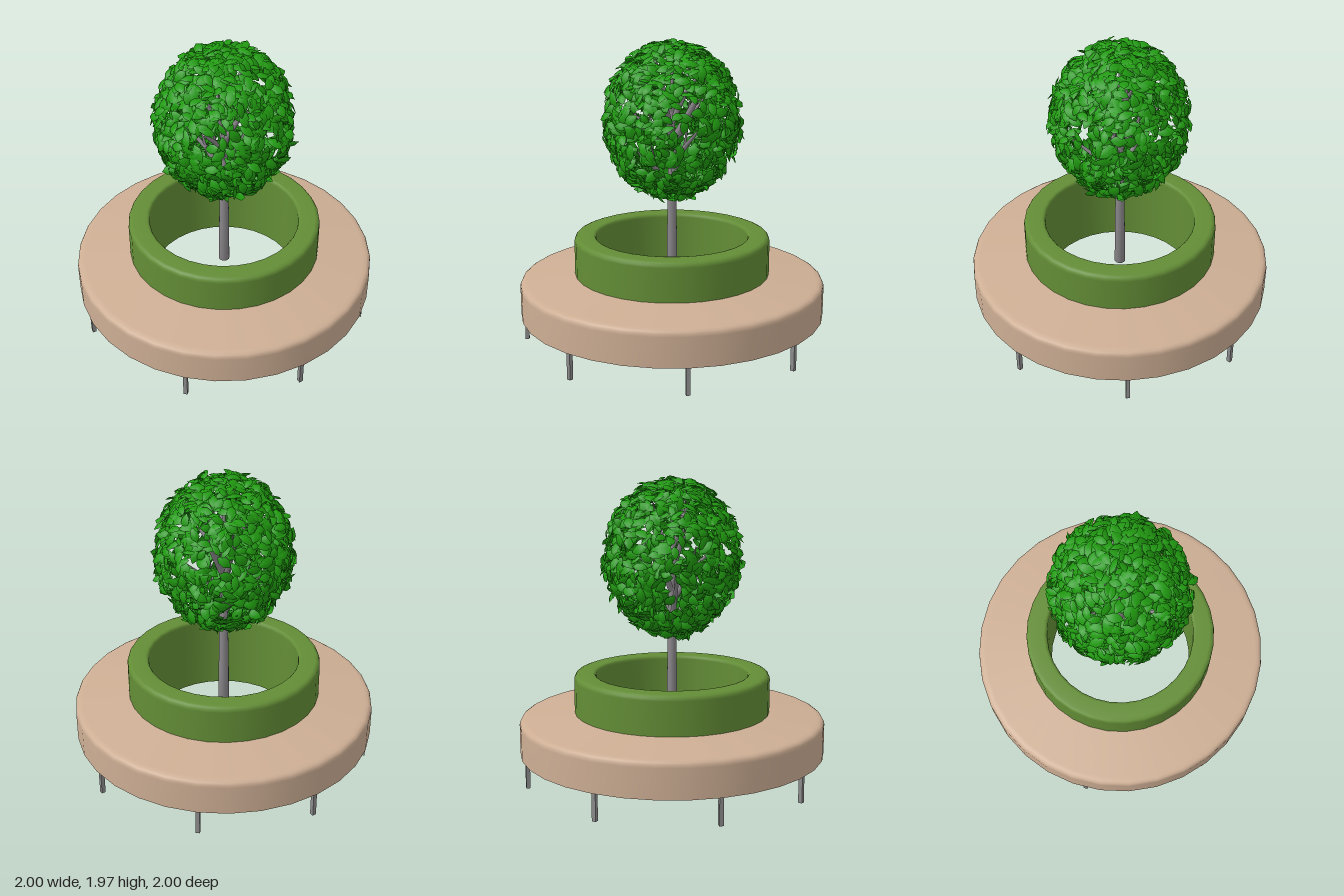
import * as THREE from 'three';
import { mergeGeometries } from 'three/addons/utils/BufferGeometryUtils.js';

const mat = (name, color, side = THREE.FrontSide) => {
  const m = new THREE.MeshStandardMaterial({ color, side });
  m.name = name;
  return m;
};
const V = (x, y, z) => new THREE.Vector3(x, y, z);

// small seeded random generator
function seeded(seed) {
  return () => {
    seed = (seed * 1664525 + 1013904223) % 4294967296;
    return seed / 4294967296;
  };
}

function lathe(name, profile, segments, material) {
  const points = profile.map(([r, y]) => new THREE.Vector2(r, y));
  const mesh = new THREE.Mesh(new THREE.LatheGeometry(points, segments), material);
  mesh.name = name;
  return mesh;
}

// tapered limb between two points
function limb(a, b, r0, r1) {
  const dir = b.clone().sub(a);
  const g = new THREE.CylinderGeometry(r1, r0, dir.length(), 12);
  g.applyQuaternion(new THREE.Quaternion().setFromUnitVectors(V(0, 1, 0), dir.normalize()));
  const mid = a.clone().add(b).multiplyScalar(0.5);
  return g.translate(mid.x, mid.y, mid.z);
}

// pointed leaf along +y, folded on its midrib and curling backwards
function leafGeometry() {
  const rows = [[0, 0], [0.28, 0.24], [0.6, 0.27], [0.85, 0.14], [1, 0]];
  const pos = [], index = [];
  rows.forEach(([t, w]) => {
    const z = 0.18 * Math.sin(t * Math.PI) - 0.1 * t;
    pos.push(-w, t - 0.5, z - w * 0.35, 0, t - 0.5, z, w, t - 0.5, z - w * 0.35);
  });
  for (let i = 0; i < rows.length - 1; i++) {
    for (let k = 0; k < 2; k++) {
      const a = i * 3 + k, b = a + 1, c = a + 4, d = a + 3;
      if (i > 0) index.push(a, b, k === 0 ? d : c);
      if (i === 0) index.push(a, c, d);
      else if (i < rows.length - 2) index.push(...(k === 0 ? [b, c, d] : [a, c, d]));
    }
  }
  // tip triangles collapse onto the midrib
  const g = new THREE.BufferGeometry();
  g.setAttribute('position', new THREE.Float32BufferAttribute(pos, 3));
  g.setIndex(index);
  g.computeVertexNormals();
  return g;
}

// leaves scattered over an egg-shaped shell
function foliage(material) {
  const rand = seeded(41), leaf = leafGeometry(), parts = [];
  const count = 1900;
  for (let i = 0; i < count; i++) {
    const h = 1 - 2 * (i + 0.5) / count;
    const ang = i * 2.399963 + (rand() - 0.5) * 0.5;
    const ring = Math.sqrt(1 - h * h);
    const n = V(ring * Math.cos(ang), h, ring * Math.sin(ang));
    // thin patches around the middle leave gaps in the crown
    const gap = Math.sin(n.x * 7 + 1) * Math.sin(n.z * 7 + 2) + Math.sin(n.y * 9);
    if (Math.abs(h) < 0.6 && gap > 0.25 && rand() < 0.6) continue;
    const depth = 0.86 + 0.1 * rand();
    const p = V(n.x * 0.46 * depth, 1.45 + n.y * 0.53 * depth, n.z * 0.46 * depth);
    const out = n.clone().add(V(rand() - 0.5, rand() - 0.3, rand() - 0.5).multiplyScalar(1.3)).normalize();
    const q = new THREE.Quaternion().setFromUnitVectors(V(0, 0, 1), out);
    q.multiply(new THREE.Quaternion().setFromAxisAngle(V(0, 0, 1), rand() * Math.PI * 2));
    const s = 0.085 + 0.035 * rand();
    parts.push(leaf.clone().applyMatrix4(new THREE.Matrix4().compose(p, q, V(s, s, s))));
  }
  const mesh = new THREE.Mesh(mergeGeometries(parts), material);
  mesh.name = 'leaves';
  return mesh;
}

export function createModel() {
  const model = new THREE.Group();
  model.name = 'roundPlanterBench';
  const seatTan = mat('seatTan', 0xcdae94, THREE.DoubleSide);
  const ringGreen = mat('ringGreen', 0x638d36, THREE.DoubleSide);
  const legGrey = mat('legGrey', 0x8c8c8c);
  const barkGrey = mat('barkGrey', 0x8a868a);
  const leafGreen = mat('leafGreen', 0x209a10, THREE.DoubleSide);

  // hollow seat, open underneath
  model.add(lathe('seat', [
    [1, 0.18], [1, 0.37], [0.997, 0.387], [0.99, 0.4], [0.975, 0.409], [0.95, 0.413], [0.64, 0.445],
  ], 32, seatTan));

  // backrest ring with a long inner sleeve
  model.add(lathe('backrest', [
    [0.64, 0.44], [0.64, 0.665], [0.637, 0.68], [0.628, 0.693], [0.61, 0.7],
    [0.52, 0.7], [0.508, 0.697], [0.501, 0.688], [0.498, 0.675], [0.498, 0.18],
  ], 32, ringGreen));

  // eight legs turned to face the centre, one slightly out of step
  const legs = new THREE.Group();
  legs.name = 'legs';
  for (let i = 0; i < 8; i++) {
    const a = i * Math.PI / 4 + (i === 3 ? 0.117 : 0);
    const leg = new THREE.Mesh(new THREE.BoxGeometry(0.026, 0.18, 0.026), legGrey);
    leg.name = 'leg';
    leg.position.set(0.965 * Math.cos(a), 0.09, 0.965 * Math.sin(a));
    leg.rotation.y = -a;
    legs.add(leg);
  }
  model.add(legs);

  // tree: trunk, branches and leaves
  const tree = new THREE.Group();
  tree.name = 'tree';
  tree.add(lathe('trunk', [
    [0, 0.32], [0.036, 0.32], [0.034, 0.6], [0.028, 0.95], [0.024, 1.2], [0.018, 1.5], [0.006, 1.85], [0, 1.85],
  ], 14, barkGrey));
  const limbs = [];
  for (let i = 0; i < 9; i++) {
    const a = i * 2.4 + 0.9, y = 0.95 + i * 0.07;
    const reach = 0.3 - i * 0.014;
    const at = (f, up) => V(Math.cos(a) * reach * f, y + up, Math.sin(a) * reach * f);
    const bend = at(0.45, 0.2);
    limbs.push(limb(at(0, 0), bend, 0.02, 0.016), limb(bend, at(1, 0.34), 0.016, 0.006));
    limbs.push(limb(bend, at(0.6, 0.36), 0.01, 0.004));
  }
  // one stout branch towards the back
  limbs.push(limb(V(0, 1.3, 0), V(0.08, 1.6, -0.15), 0.028, 0.018));
  const branches = new THREE.Mesh(mergeGeometries(limbs), barkGrey);
  branches.name = 'branches';
  tree.add(branches, foliage(leafGreen));
  model.add(tree);
  return model;
}
